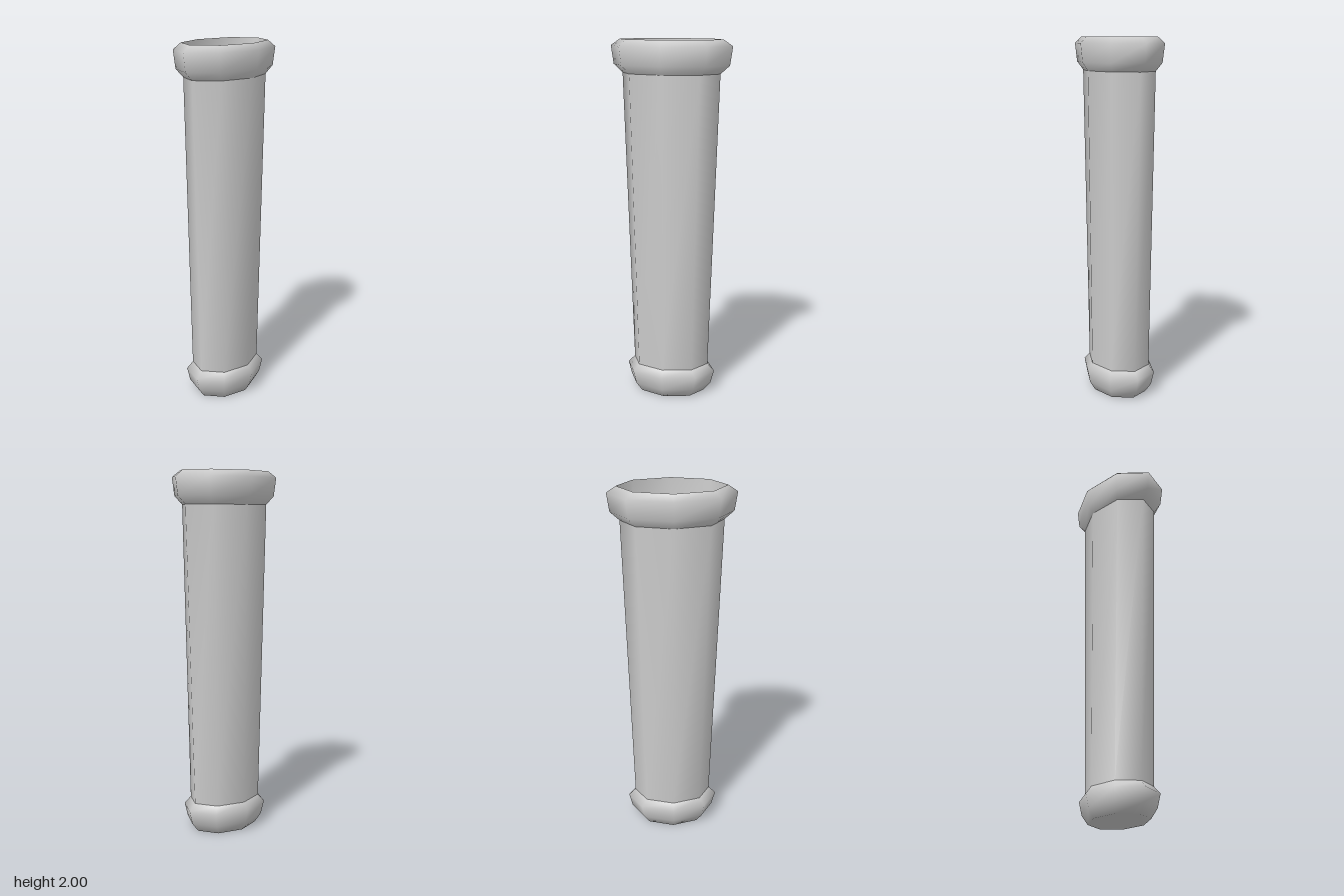
import * as THREE from 'three';

const SIDES = 8;

// Smooth eight-sided loft through rings of [y, halfWidth, halfDepth], listed bottom to top.
function loft(name, rings, closeBottom = false) {
  const positions = [];
  const index = [];
  for (const [y, rx, rz] of rings) {
    for (let i = 0; i < SIDES; i++) {
      const a = (i / SIDES) * Math.PI * 2;
      positions.push(rx * Math.sin(a), y, rz * Math.cos(a));
    }
  }
  for (let r = 0; r < rings.length - 1; r++) {
    for (let i = 0; i < SIDES; i++) {
      const j = (i + 1) % SIDES;
      const a = r * SIDES + i, b = r * SIDES + j;
      index.push(a, b, b + SIDES, a, b + SIDES, a + SIDES);
    }
  }
  // bottom fan, sharing the first ring so the base shades softly
  if (closeBottom) for (let i = 1; i < SIDES - 1; i++) index.push(0, i + 1, i);

  const geometry = new THREE.BufferGeometry();
  geometry.setAttribute('position', new THREE.Float32BufferAttribute(positions, 3));
  geometry.setIndex(index);
  geometry.computeVertexNormals();
  const material = new THREE.MeshStandardMaterial({ color: 0xcccccc, side: THREE.DoubleSide });
  const mesh = new THREE.Mesh(geometry, material);
  mesh.name = name;
  return mesh;
}

export function createModel() {
  const model = new THREE.Group();
  model.name = 'sheath';

  // long tapered hollow body
  model.add(loft('body', [
    [0.165, 0.22, 0.165],
    [1.82, 0.275, 0.18],
  ]));

  // closed foot that caps the narrow end
  model.add(loft('endCap', [
    [0, 0.2, 0.15],
    [0.05, 0.24, 0.18],
    [0.125, 0.26, 0.195],
    [0.165, 0.22, 0.165],
  ], true));

  // flared collar around the open mouth
  model.add(loft('collar', [
    [1.82, 0.275, 0.18],
    [1.865, 0.326, 0.21],
    [1.965, 0.341, 0.221],
    [2, 0.29, 0.187],
  ]));

  // lining of the mouth, rings run downwards so it faces inwards
  model.add(loft('mouthLining', [
    [2, 0.29, 0.187],
    [1.82, 0.275, 0.18],
  ]));

  return model;
}
